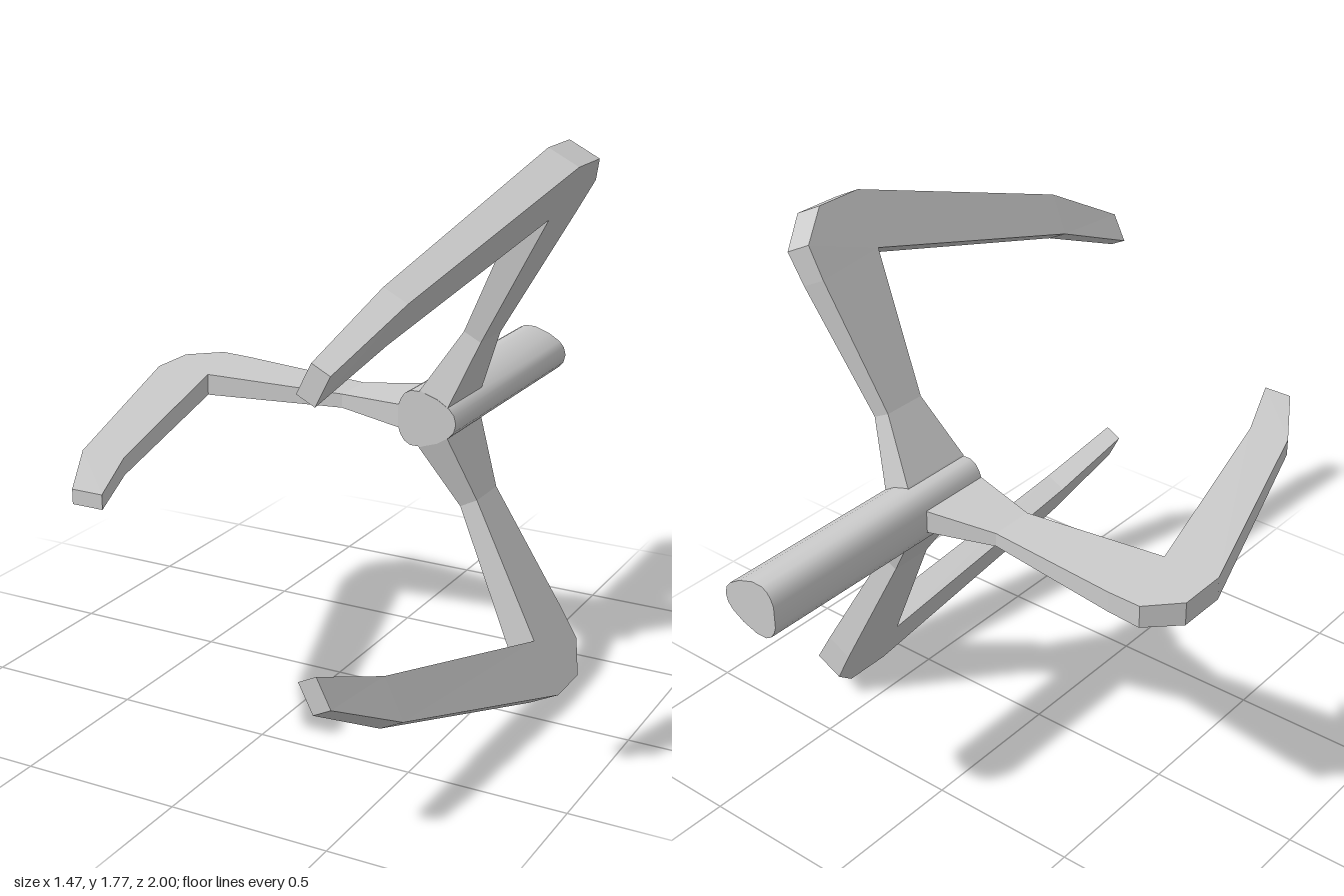
import * as THREE from 'three';
import { toCreasedNormals } from 'three/addons/utils/BufferGeometryUtils.js';

const CENTRE_Y = 0.895;

// Claw stations from hub to tip: inner [radius, z, half thickness], outer [radius, z, half thickness]
const STATIONS = [
  [[0.04, -0.09, 0.038], [0.04, -0.35, 0.038]],
  [[0.08, -0.09, 0.038], [0.08, -0.35, 0.038]],
  [[0.31, -0.145, 0.023], [0.31, -0.295, 0.023]],
  [[0.79, -0.095, 0.035], [0.77, -0.345, 0.034]],
  [[0.79, -0.095, 0.035], [0.885, -0.35, 0.037]],
  [[0.79, -0.095, 0.035], [0.98, -0.255, 0.039]],
  [[0.79, -0.095, 0.035], [0.98, -0.09, 0.039]],
  [[0.56, 0.72, 0.027], [0.70, 0.73, 0.029]],
  [[0.44, 1.0, 0.022], [0.54, 1.0, 0.022]],
];

// Four-sided cross-sections joined into a flat-shaded claw lying along +x
function clawGeometry(widen) {
  const rings = STATIONS.map(([i, o]) => [
    [i[0], i[2] * widen, i[1]],
    [o[0], o[2] * widen, o[1]],
    [o[0], -o[2] * widen, o[1]],
    [i[0], -i[2] * widen, i[1]],
  ]);
  const pos = [];
  const tri = (a, b, c) => {
    const same = (p, q) => p.every((v, k) => v === q[k]);
    if (!same(a, b) && !same(b, c) && !same(c, a)) pos.push(...a, ...b, ...c);
  };
  const quad = (a, b, c, d) => { tri(a, b, c); tri(a, c, d); };
  for (let s = 0; s < rings.length - 1; s++) {
    for (let k = 0; k < 4; k++) {
      const n = (k + 1) % 4;
      quad(rings[s][k], rings[s + 1][k], rings[s + 1][n], rings[s][n]);
    }
  }
  quad(...rings[0]);
  quad(...[...rings[rings.length - 1]].reverse());
  const geo = new THREE.BufferGeometry();
  geo.setAttribute('position', new THREE.Float32BufferAttribute(pos, 3));
  geo.computeVertexNormals();
  return geo;
}

// Rounded three-lobed shaft section, mirrored about its horizontal axis
function shaftGeometry() {
  const half = [[0.36, 0], [0.353, 0.027], [0.336, 0.047], [0.295, 0.072], [0.241, 0.09],
    [0.203, 0.09], [0.182, 0.078], [0.168, 0.058], [0.16, 0.035]];
  const lower = half.slice(1).reverse().map(([x, y]) => [x, -y]);
  const shape = new THREE.Shape([...half, ...lower].map(([x, y]) => new THREE.Vector2(x, y)));
  const geo = new THREE.ExtrudeGeometry(shape, { depth: 0.91, bevelEnabled: false });
  geo.translate(0, CENTRE_Y, -1);
  return toCreasedNormals(geo, 0.7);
}

export function createModel() {
  const model = new THREE.Group();
  const material = new THREE.MeshStandardMaterial({ color: 0xcccccc });

  const shaft = new THREE.Mesh(shaftGeometry(), material);
  shaft.name = 'shaft';
  model.add(shaft);

  // Three claws: a slim one to the side, two wider ones above and below
  const claws = [
    ['sideClaw', 180, 1, 0.24],
    ['upperClaw', 63, 1.4, 0.246],
    ['lowerClaw', -63, 1.4, 0.246],
  ];
  for (const [name, degrees, widen, x] of claws) {
    const claw = new THREE.Mesh(clawGeometry(widen), material);
    claw.name = name;
    claw.position.set(x, CENTRE_Y, 0);
    claw.rotation.z = THREE.MathUtils.degToRad(degrees);
    if (degrees !== 180) claw.scale.x = 0.985;
    model.add(claw);
  }
  return model;
}
